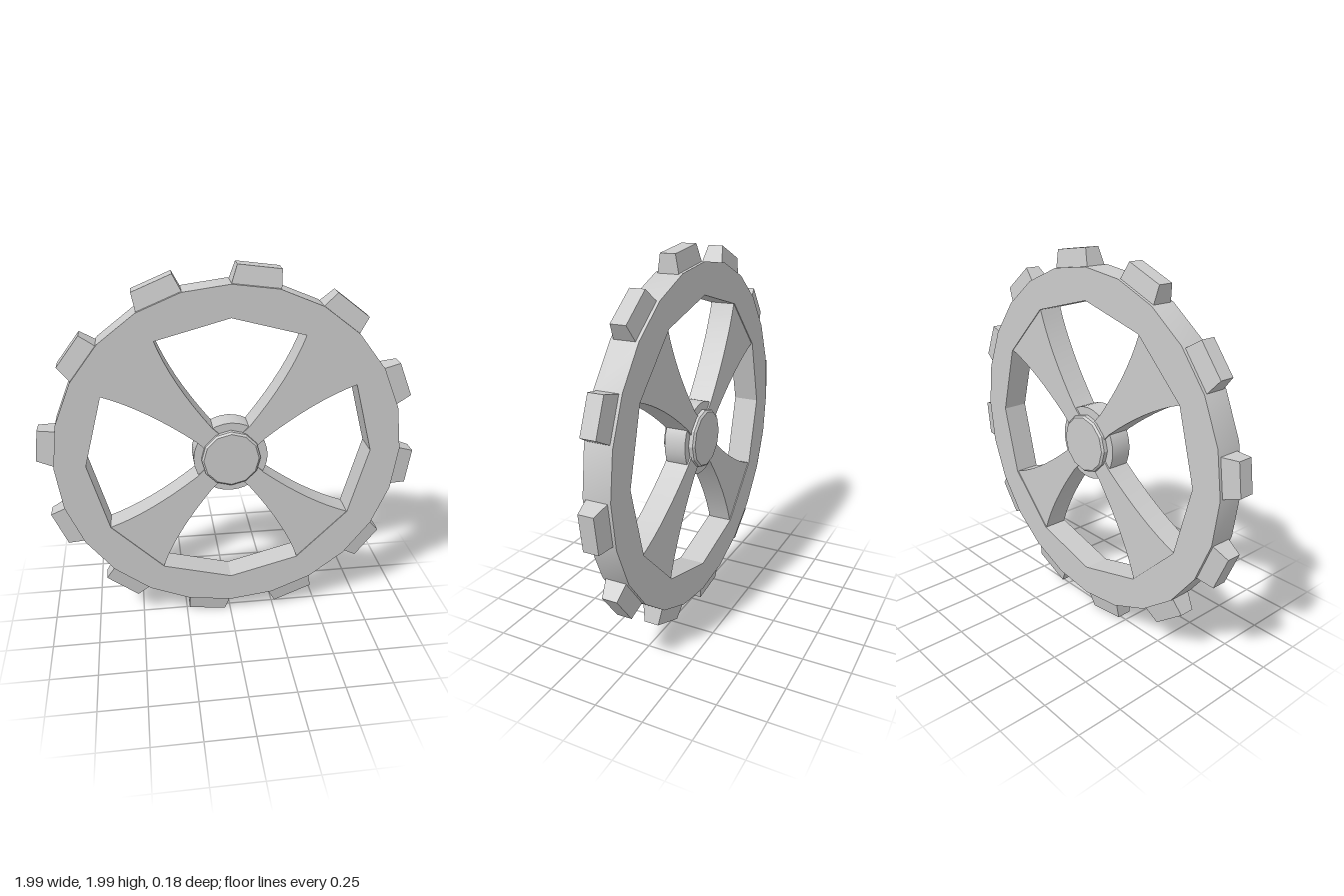
import * as THREE from 'three';
import { toCreasedNormals } from 'three/addons/utils/BufferGeometryUtils.js';

const material = new THREE.MeshStandardMaterial({ color: 0xcccccc });

function addPart(parent, name, geometry) {
  const mesh = new THREE.Mesh(geometry, material);
  mesh.name = name;
  parent.add(mesh);
  return mesh;
}

// Corners of a regular polygon with one corner straight up
function polygon(radius, sides) {
  return Array.from({ length: sides }, (_, i) => {
    const a = Math.PI / 2 + (i / sides) * Math.PI * 2;
    return new THREE.Vector2(radius * Math.cos(a), radius * Math.sin(a));
  });
}

// Plate of the given half thickness, centred on z = 0
function plate(shape, half, bevel = 0) {
  const depth = 2 * (half - bevel);
  const geometry = new THREE.ExtrudeGeometry(shape, {
    depth, curveSegments: 8, bevelEnabled: bevel > 0,
    bevelSize: bevel, bevelThickness: bevel, bevelSegments: 1,
  });
  geometry.translate(0, 0, -depth / 2);
  return toCreasedNormals(geometry, THREE.MathUtils.degToRad(20));
}

// Tapered tooth: local x runs along the rim, y points outwards
function toothGeometry(end) {
  const geometry = new THREE.BoxGeometry(1, 1, 1).toNonIndexed();
  const p = geometry.attributes.position;
  for (let i = 0; i < p.count; i++) {
    const top = p.getY(i) > 0;
    const x = p.getX(i) < 0 ? (top ? -0.098 : -0.119) : (top ? end - 0.01 : end);
    const z = Math.sign(p.getZ(i)) * (top ? 0.04 : 0.058);
    p.setXYZ(i, x, top ? 0.992 : 0.885, z);
  }
  geometry.computeVertexNormals();
  return geometry;
}

export function createModel() {
  const model = new THREE.Group();
  model.name = 'toothedWheel';
  const wheel = new THREE.Group();
  wheel.name = 'wheel';
  wheel.position.y = 1;
  model.add(wheel);

  // Rim: round outside, twelve flat sides inside
  const rim = new THREE.Shape(polygon(0.91, 24));
  rim.holes.push(new THREE.Path(polygon(0.748, 12).reverse()));
  addPart(wheel, 'rim', plate(rim, 0.071));

  // Four flared spokes, drawn pointing up and turned to the diagonals
  const spoke = new THREE.Shape();
  spoke.moveTo(-0.055, 0.1);
  spoke.lineTo(0.055, 0.1);
  spoke.lineTo(0.055, 0.195);
  spoke.quadraticCurveTo(0.095, 0.52, 0.194, 0.725);
  spoke.lineTo(-0.194, 0.725);
  spoke.quadraticCurveTo(-0.095, 0.52, -0.055, 0.195);
  const spokeGeometry = plate(spoke, 0.066);
  for (let i = 0; i < 4; i++) {
    addPart(wheel, 'spoke', spokeGeometry).rotation.z = Math.PI / 4 + (i * Math.PI) / 2;
  }

  // Hub with a bevelled cap on both faces
  addPart(wheel, 'hub', plate(new THREE.Shape(polygon(0.195, 32)), 0.058));
  addPart(wheel, 'hubCap', plate(new THREE.Shape(polygon(0.145, 12)), 0.09, 0.01));

  // Twelve teeth on every other side of the rim, slightly uneven in length
  const ends = [0.13, 0.122, 0.104, 0.104, 0.113, 0.139, 0.118, 0.122, 0.109, 0.081, 0.107, 0.123];
  ends.forEach((end, i) => {
    const tooth = addPart(wheel, 'tooth', toothGeometry(end));
    tooth.rotation.z = -THREE.MathUtils.degToRad(7.5 + 30 * i);
  });

  return model;
}
